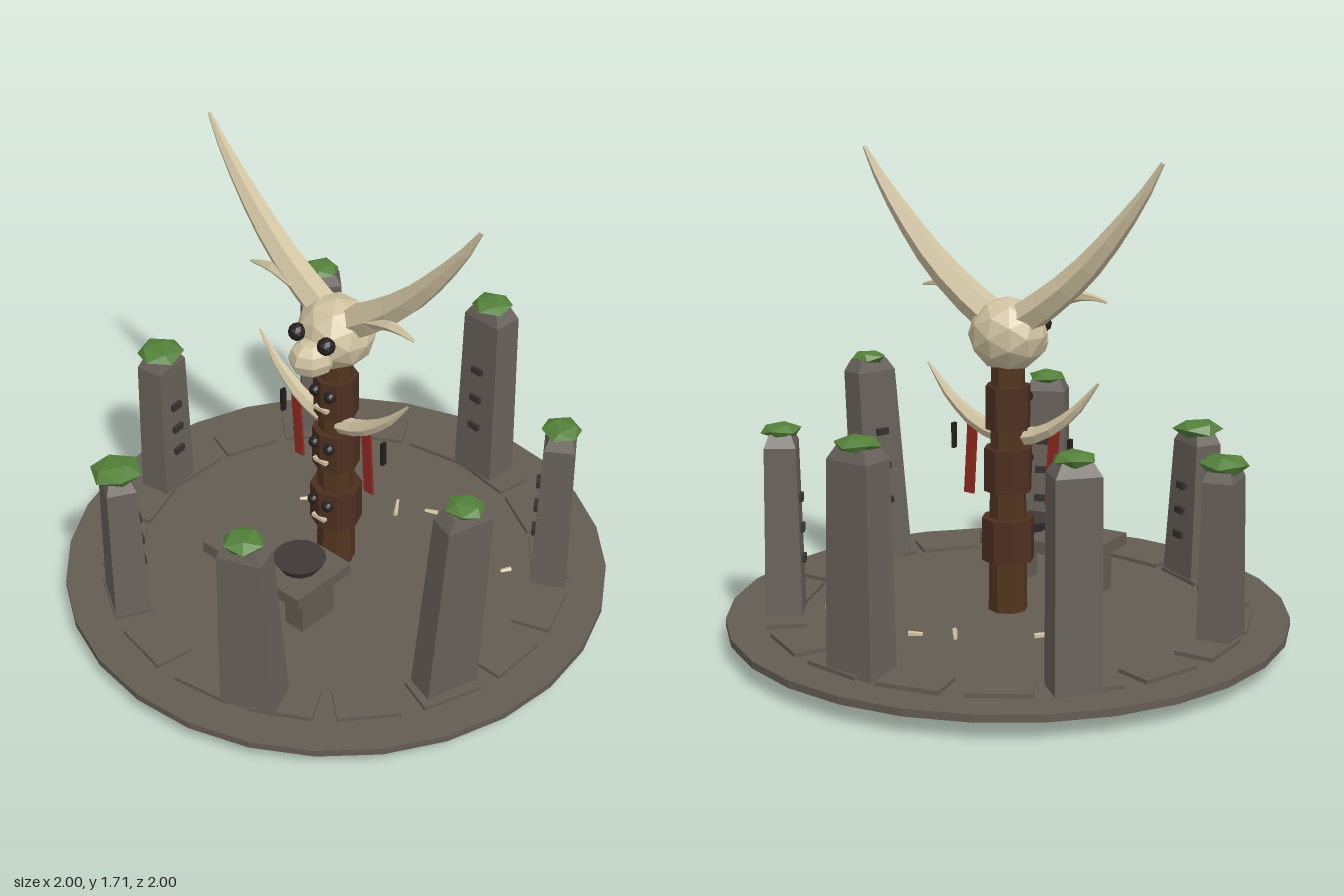
import * as THREE from 'three';

const mat = (name, color) => {
  const m = new THREE.MeshStandardMaterial({ color, flatShading: true });
  m.name = name;
  return m;
};

export function createModel() {
  const ground = mat('ground stone', 0x645c53);
  const stone = mat('standing stone', 0x68615a);
  const rune = mat('dark rune', 0x353231);
  const moss = mat('moss green', 0x53803a);
  const wood = mat('dark wood', 0x52351f);
  const drumWood = mat('carved wood', 0x4c2f20);
  const bone = mat('bone', 0xcfc2a0);
  const black = mat('eye black', 0x241f1e);
  const red = mat('red cloth', 0x8f2a20);
  const iron = mat('bowl iron', 0x403838);

  const model = new THREE.Group();
  model.name = 'stoneCircleShrine';
  const add = (name, geo, m, x = 0, y = 0, z = 0, parent = model) => {
    const mesh = new THREE.Mesh(geo, m);
    mesh.name = name;
    mesh.position.set(x, y, z);
    parent.add(mesh);
    return mesh;
  };
  const box = (w, h, d) => new THREE.BoxGeometry(w, h, d);

  // Tube along a curve whose radius follows a list of values
  const taperedTube = (points, radii, steps, sides) => {
    const curve = new THREE.CatmullRomCurve3(points.map(p => new THREE.Vector3(...p)));
    const geo = new THREE.TubeGeometry(curve, steps, 1, sides);
    const pos = geo.attributes.position, v = new THREE.Vector3();
    for (let i = 0; i < pos.count; i++) {
      const t = Math.floor(i / (sides + 1)) / steps;
      const k = t * (radii.length - 1), a = Math.min(Math.floor(k), radii.length - 2);
      const r = THREE.MathUtils.lerp(radii[a], radii[a + 1], k - a);
      const c = curve.getPointAt(t);
      v.fromBufferAttribute(pos, i).sub(c).multiplyScalar(r).add(c);
      pos.setXYZ(i, v.x, v.y, v.z);
    }
    geo.computeVertexNormals();
    return geo;
  };

  // Round floor and ring of paving slabs
  add('floor', new THREE.CylinderGeometry(1, 1, 0.026, 28), ground, 0, 0.075, 0);
  for (let i = 0; i < 18; i++) {
    const a = (i * Math.PI) / 9;
    const slab = add('pavingSlab', box(0.14, 0.02, 0.22), ground, 0.79 * Math.cos(a), 0.092, 0.79 * Math.sin(a));
    slab.rotation.y = -a;
  }

  // Leaning standing stones: base x,z / top x,z / top y / width, depth / taper / moss radius
  const stones = [
    [0.07, -0.785, 0.07, -0.785, 0.80, 0.19, 0.13, 0.12, 0.08],
    [0.645, -0.455, 0.655, -0.445, 0.70, 0.17, 0.13, 0.15, 0.075],
    [0.73, 0.25, 0.775, 0.243, 0.83, 0.20, 0.11, 0.15, 0.068],
    [0.30, 0.735, 0.285, 0.745, 0.72, 0.20, 0.13, 0.22, 0.075],
    [-0.385, 0.69, -0.40, 0.685, 0.61, 0.19, 0.13, 0.2, 0.095],
    [-0.78, 0.12, -0.778, 0.12, 0.65, 0.17, 0.12, 0.12, 0.092],
    [-0.59, -0.55, -0.585, -0.55, 0.79, 0.16, 0.12, 0.05, 0.075],
  ];
  stones.forEach(([bx, bz, tx, tz, topY, w, d, taper, mossR], i) => {
    const angle = ((17.5 + (i - 2) * 360 / 7) * Math.PI) / 180;
    const turn = Math.atan2(-Math.cos(angle), -Math.sin(angle));
    const y0 = 0.085, h = topY - y0;
    const g = new THREE.Group();
    g.name = 'standingStone';
    model.add(g);
    // Narrow a box upward and lean it from the base point to the top point
    const lean = (x, f, z) => new THREE.Vector3(x, 0, z).applyAxisAngle(new THREE.Vector3(0, 1, 0), turn)
      .add(new THREE.Vector3(bx + (tx - bx) * f, y0 + h * f, bz + (tz - bz) * f));
    const block = (f0, f1, s0, s1) => {
      const geo = box(w, 1, d), p = geo.attributes.position;
      for (let k = 0; k < p.count; k++) {
        const up = p.getY(k) > 0, s = up ? s1 : s0;
        const v = lean(p.getX(k) * s, up ? f1 : f0, p.getZ(k) * s);
        p.setXYZ(k, v.x, v.y, v.z);
      }
      geo.computeVertexNormals();
      return geo;
    };
    add('stoneBody', block(0, 1, 1, 1 - taper), stone, 0, 0, 0, g);
    add('stoneCap', block(1, 1 + 0.045 / h, 1 - taper, 0.66 - taper * 0.5), stone, 0, 0, 0, g);
    const top = lean(0, 1 + 0.05 / h, 0);
    const tuft = add('mossTuft', new THREE.IcosahedronGeometry(mossR, 0).rotateX(0.55), moss, top.x, top.y, top.z, g);
    tuft.scale.y = 0.36;
    tuft.rotation.y = i * 1.3;
    for (const f of [0.33, 0.51, 0.69]) {
      const v = lean(0, f, (d / 2) * (1 - taper * f) + 0.004);
      add('rune', box(0.05, 0.025, 0.02), rune, v.x, v.y, v.z, g).rotation.y = turn;
    }
  });

  // Altar table with a bowl
  add('altarTop', box(0.47, 0.045, 0.27), ground, 0, 0.268, 0.315);
  for (const s of [-1, 1]) add('altarLeg', box(0.085, 0.165, 0.16), ground, s * 0.16, 0.165, 0.315);
  add('altarBowl', new THREE.CylinderGeometry(0.095, 0.07, 0.04, 14), iron, 0.11, 0.31, 0.31);

  // Scattered bones: x, z, length, heading
  for (const [x, z, len, a] of [[-0.005, -0.35, 0.085, -0.96], [0.11, -0.42, 0.05, 0.42], [0.46, -0.275, 0.085, -0.88],
    [0.53, -0.345, 0.04, 1.05], [-0.28, -0.18, 0.11, 0.89]]) {
    add('scatteredBone', new THREE.CylinderGeometry(0.007, 0.01, len, 5).rotateZ(Math.PI / 2), bone, x, 0.097, z).rotation.y = a;
  }

  // Totem pole with carved faces
  add('totemPole', new THREE.CylinderGeometry(0.06, 0.072, 1.0, 8), wood, 0, 0.5, 0);
  for (const [y, r] of [[0.352, 0.095], [0.605, 0.086], [0.828, 0.08]]) {
    add('carvedDrum', new THREE.CylinderGeometry(r, r, 0.155, 8), drumWood, 0, y, 0);
    for (const s of [-1, 1]) add('carvedEye', new THREE.IcosahedronGeometry(0.022, 1), black, s * 0.035, y + 0.029, r * 0.87);
    add('carvedMouth', box(0.06, 0.014, 0.02), bone, 0, y - 0.034, r - 0.006);
  }

  // Skull with snout
  add('skull', new THREE.IcosahedronGeometry(0.142, 1), bone, 0, 1.085, 0).scale.set(1, 0.93, 0.92);
  add('snout', new THREE.SphereGeometry(0.085, 8, 6), bone, 0, 1.037, 0.115).scale.set(0.95, 0.82, 1.08);

  for (const s of [-1, 1]) {
    add('eyeSocket', new THREE.IcosahedronGeometry(0.032, 1), black, s * 0.067, 1.11, 0.122);

    // Great horn, side tine and totem tusk
    add('horn', taperedTube([[0.06, 1.14, -0.01], [0.19, 1.23, -0.01], [0.31, 1.335, -0.01], [0.45, 1.495, -0.01],
      [0.54, 1.615, -0.01], [0.595, 1.705, -0.01]].map(([x, y, z]) => [s * x, y, z]),
      [0.062, 0.057, 0.049, 0.038, 0.024, 0.007], 7, 6), bone);
    add('hornTine', taperedTube([[s * 0.17, 1.215, 0.02], [s * 0.28, 1.24, 0.03], [s * 0.375, 1.224, 0.03]],
      [0.03, 0.02, 0.005], 4, 5), bone);
    add('tusk', taperedTube([[0.04, 0.72, 0.02], [0.13, 0.745, 0.02], [0.25, 0.83, 0.02], [0.35, 0.946, 0.02]]
      .map(([x, y, z]) => [s * x, y, z]), [0.034, 0.028, 0.018, 0.004], 6, 6), bone);

    // Hanging cloth strips and small charms
    add('clothStrip', box(0.04, 0.275, 0.009), red, s * 0.168, 0.623, 0.02).rotation.z = 0.06;
    add('charm', box(0.012, 0.092, 0.02), black, s * 0.24, 0.69, 0.02);
  }

  return model;
}
